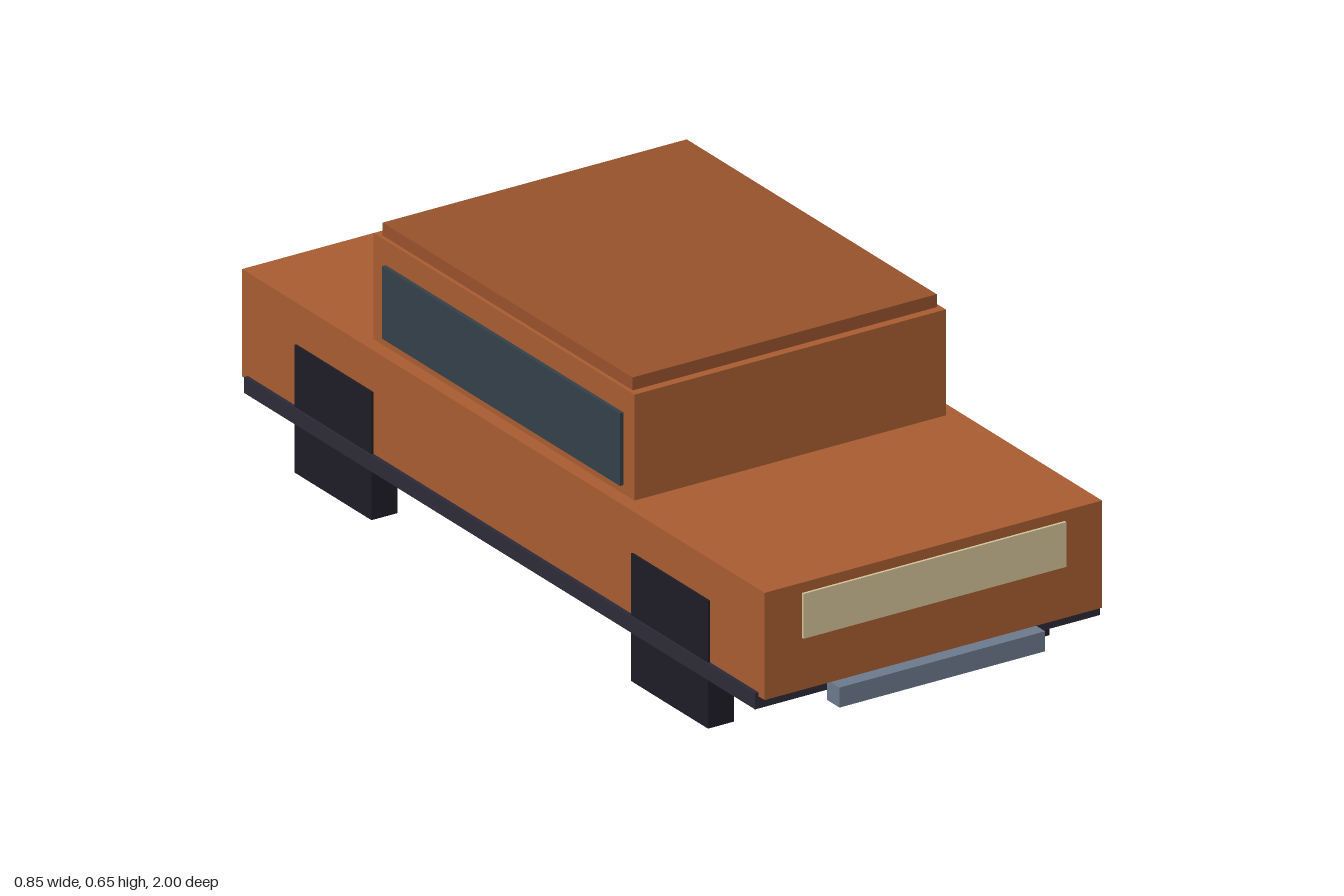
import * as THREE from 'three';

const paint = (color) => new THREE.MeshStandardMaterial({ color });

const orange = paint(0xa85c30);
const roofOrange = paint(0x98522c);
const chassisDark = paint(0x2c2a38);
const tyre = paint(0x1e1c26);
const glass = paint(0x34404a);
const steel = paint(0x6b7a8c);
const lamp = paint(0xd4c39a);

export function createModel() {
  const car = new THREE.Group();
  car.name = 'car';

  // Box given by its extents on each axis
  function block(name, material, [x0, x1], [y0, y1], [z0, z1]) {
    const mesh = new THREE.Mesh(new THREE.BoxGeometry(x1 - x0, y1 - y0, z1 - z0), material);
    mesh.position.set((x0 + x1) / 2, (y0 + y1) / 2, (z0 + z1) / 2);
    mesh.name = name;
    car.add(mesh);
  }
  // Extent mirrored to the chosen side of zero
  const side = (s, a, b) => (s > 0 ? [a, b] : [-b, -a]);

  // Chassis, body, cabin and roof
  block('chassis', chassisDark, [-0.424, 0.424], [0.112, 0.148], [-0.945, 0.945]);
  block('body', orange, [-0.415, 0.415], [0.139, 0.38], [-0.967, 0.967]);
  block('cabin', orange, [-0.383, 0.383], [0.37, 0.618], [-0.528, 0.437]);
  block('roof', roofOrange, [-0.374, 0.374], [0.61, 0.647], [-0.508, 0.417]);

  // Lamp panel in front, painted panel behind
  block('headlightPanel', lamp, [-0.323, 0.323], [0.256, 0.357], [0.96, 0.973]);
  block('rearPanel', orange, [-0.323, 0.323], [0.256, 0.357], [-0.973, -0.96]);

  for (const s of [1, -1]) {
    const lr = s > 0 ? 'left' : 'right';
    const fb = s > 0 ? 'front' : 'rear';
    block(`${fb}Bumper`, steel, [-0.253, 0.253], [0.094, 0.139], side(s, 0.954, 1));
    block(`${lr}Window`, glass, side(s, 0.375, 0.392), [0.4, 0.563], [-0.483, 0.397]);

    // Square wheels at both axles
    for (const e of [1, -1]) {
      block(`${lr}${e > 0 ? 'Front' : 'Rear'}Wheel`, tyre,
        side(s, 0.356, 0.42), [0, 0.287], side(e, 0.48, 0.765));
    }
  }
  return car;
}
